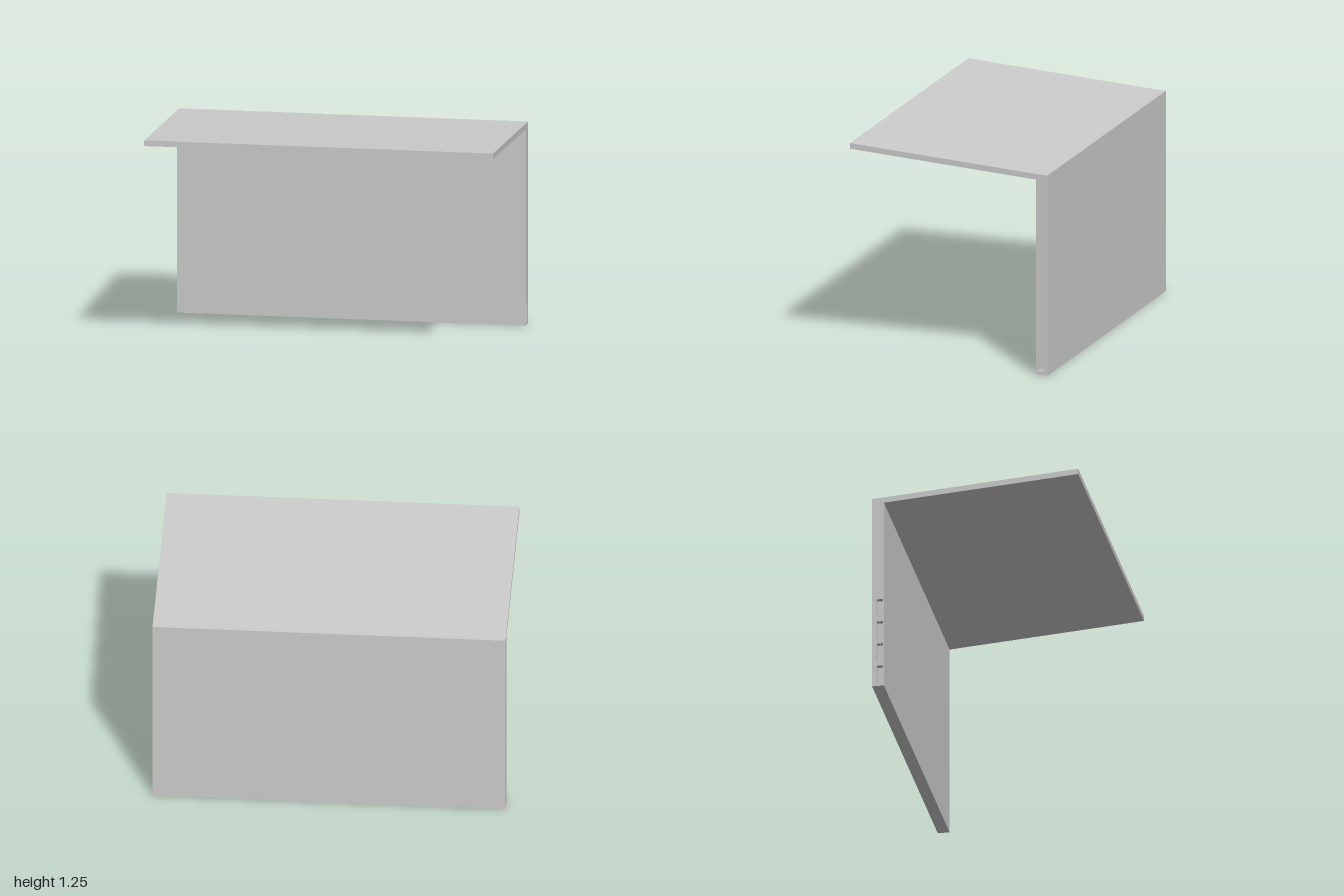
import * as THREE from 'three';

const material = new THREE.MeshStandardMaterial({ color: 0xcccccc, flatShading: true });
const DEPTH = 0.03; // depth of the end sockets

// Profiles are drawn as [-z, y] and extruded along x
function extrudeAlongX(name, points, x0, x1, holes = []) {
  const shape = new THREE.Shape(points.map(([u, y]) => new THREE.Vector2(u, y)));
  shape.holes = holes;
  const geometry = new THREE.ExtrudeGeometry(shape, { depth: x1 - x0, bevelEnabled: false });
  geometry.rotateY(Math.PI / 2).translate(x0, 0, 0);
  const mesh = new THREE.Mesh(geometry, material);
  mesh.name = name;
  return mesh;
}

// Row of upright rectangular sockets, stacked from the bottom
function sockets(count) {
  return Array.from({ length: count }, (_, i) => {
    const y = 0.023 + i * 0.138;
    return new THREE.Path([[0.53, y], [0.53, y + 0.103], [0.567, y + 0.103], [0.567, y]]
      .map(([u, v]) => new THREE.Vector2(u, v)));
  });
}

export function createModel() {
  const model = new THREE.Group();
  model.name = 'canopyWall';

  // Upright back wall: solid core with a socketed cap at each end
  const wall = [[0.525, 0], [0.593, 0], [0.593, 1.17], [0.566, 1.17], [0.525, 1.173]];
  model.add(
    extrudeAlongX('wallCore', wall, -1 + DEPTH, 1 - DEPTH),
    extrudeAlongX('wallLeftEnd', wall, 1 - DEPTH, 1, sockets(1)),
    extrudeAlongX('wallRightEnd', wall, -1, -1 + DEPTH, sockets(4)),
  );

  // Thin roof rising slightly towards the front
  const roof = [[-0.593, 1.222], [0.525, 1.14], [0.525, 1.173], [-0.593, 1.255]];
  model.add(extrudeAlongX('roof', roof, -1, 1));

  return model;
}
